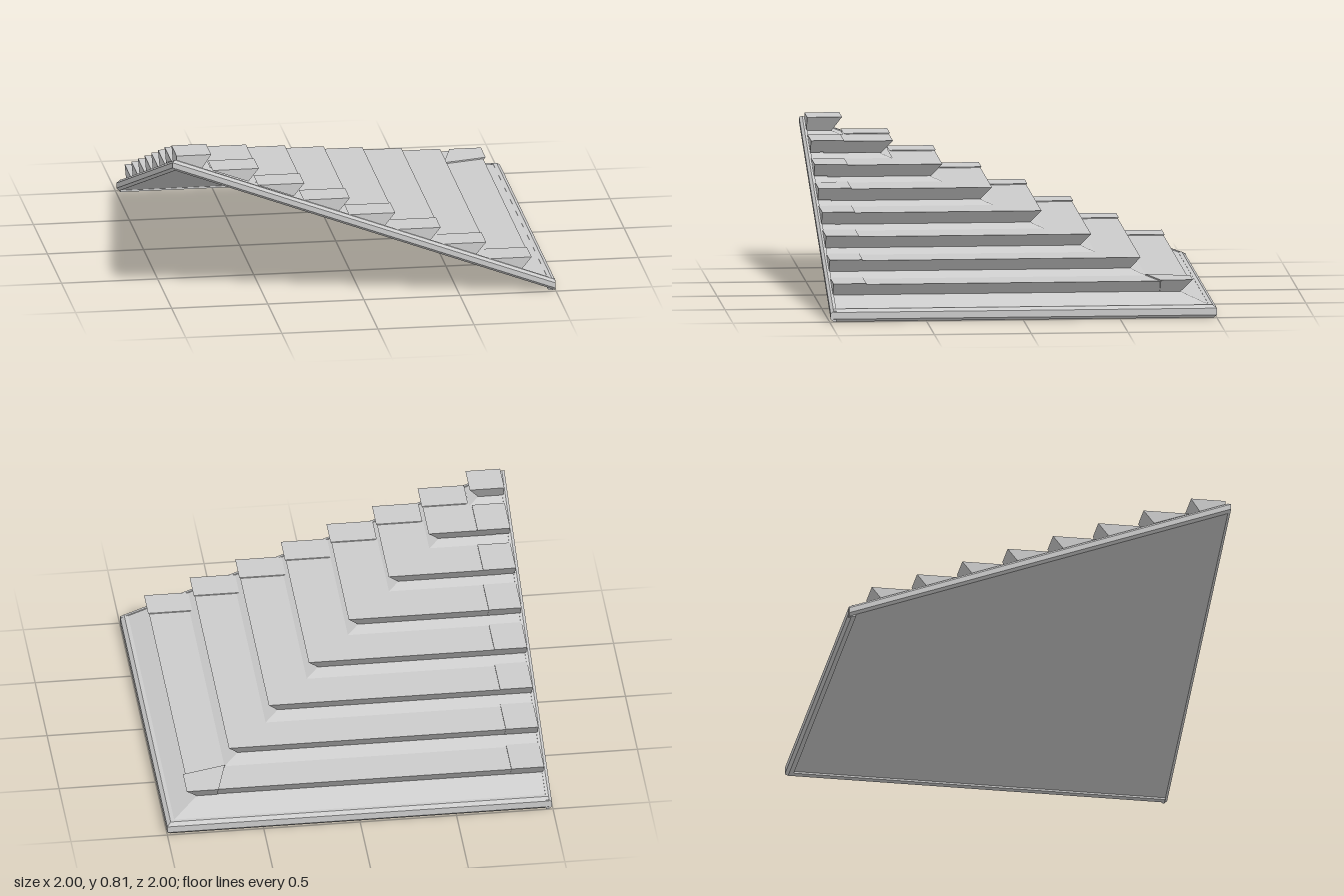
import * as THREE from 'three';

const material = new THREE.MeshStandardMaterial({ color: 0xcccccc, flatShading: true });
const EDGE = 0.97;
// Height of the roof underside at distance d from the hip centre
const base = (d) => 0.3725 * (1 - d);
const mirrorPoint = ([x, y, z]) => [-z, y, -x];

// Joins rings of equal point count into a closed solid with outward faces
function loft(name, rings) {
  const tris = [];
  const n = rings[0].length;
  for (let s = 0; s + 1 < rings.length; s++) {
    for (let i = 0; i < n; i++) {
      const j = (i + 1) % n;
      const a = rings[s][i], b = rings[s][j], c = rings[s + 1][j], d = rings[s + 1][i];
      tris.push([a, b, c], [a, c, d]);
    }
  }
  const last = rings[rings.length - 1];
  for (let i = 1; i + 1 < n; i++) {
    tris.push([rings[0][0], rings[0][i + 1], rings[0][i]]);
    tris.push([last[0], last[i], last[i + 1]]);
  }
  // Signed volume about a point of the solid decides the winding
  const origin = new THREE.Vector3(...rings[0][0]);
  let volume = 0;
  for (const t of tris) {
    const [a, b, c] = t.map((p) => new THREE.Vector3(...p).sub(origin));
    volume += a.dot(b.cross(c));
  }
  if (volume < 0) tris.forEach((t) => t.reverse());
  const geometry = new THREE.BufferGeometry();
  geometry.setAttribute('position', new THREE.Float32BufferAttribute(tris.flat(2), 3));
  geometry.computeVertexNormals();
  const mesh = new THREE.Mesh(geometry, material);
  mesh.name = name;
  return mesh;
}

// Sweeps a (distance, height) profile along both slopes, mitred on the hip
function hipSweep(name, profile, end = EDGE) {
  return loft(name, [
    profile.map(([d, y]) => [d, y, end]),
    profile.map(([d, y]) => [d, y, -d]),
    profile.map(([d, y]) => [-end, y, -d]),
  ]);
}

// The same solid on each of the two slopes
function addPair(group, name, rings) {
  group.add(loft(name + 'Side', rings));
  group.add(loft(name + 'Back', rings.map((ring) => ring.map(mirrorPoint))));
}

// Overhanging wedge: flat top, undercut front, tail buried in the roof
const wedge = (t, y) => [[t, y], [t - 0.24, y], [t - 0.055, y - 0.068]];

export function createModel() {
  const roof = new THREE.Group();
  roof.name = 'hippedRoofCorner';

  // Sloping roof shell, open below
  roof.add(hipSweep('roofShell', [
    [-EDGE, base(-EDGE) + 0.05], [0.98, base(0.98) + 0.05],
    [0.98, base(0.98)], [-EDGE, base(-EDGE)],
  ]));

  // Chamfered eave along the two low edges
  roof.add(hipSweep('eave', [
    [0.96, 0.066], [0.98, 0.066], [1, 0.05], [1, 0.015], [0.985, 0], [0.96, 0.005],
  ], 0.98));

  // Chamfered boards along the two sloping edges
  const board = [
    [0.965, 0.056], [0.98, 0.056], [0.995, 0.042], [0.995, 0.014], [0.98, 0], [0.965, 0],
  ];
  addPair(roof, 'edgeBoard', [
    board.map(([z, h]) => [-z, base(-z) + h, z]),
    board.map(([z, h]) => [0.998, base(0.998) + h, z]),
  ]);

  // Stepped shingle courses with a slightly larger block at each end
  for (let i = 0; i < 7; i++) {
    const t = 0.877 - i * 0.2365;
    const y = 0.181 + i * 0.0907;
    const course = new THREE.Group();
    course.name = 'shingleCourse' + (i + 1);
    course.add(hipSweep('courseStrip', wedge(t - 0.005, y - 0.005), 0.9));
    const block = wedge(t, y);
    addPair(course, 'endBlock', [EDGE, 0.8].map((z) => block.map(([d, h]) => [d, h, z])));
    roof.add(course);
  }

  // Block wrapping the lowest hip corner
  roof.add(loft('cornerBlock', [
    [[0.72, 0.183, -0.885], [0.885, 0.183, -0.885], [0.885, 0.183, -0.72], [0.66, 0.183, -0.66]],
    [[0.72, 0.113, -0.825], [0.825, 0.113, -0.825], [0.825, 0.113, -0.72], [0.66, 0.15, -0.66]],
  ]));

  // Square cap on the peak
  roof.add(hipSweep('peakCap', [
    [-0.79, 0.812], [-EDGE, 0.812], [-EDGE, 0.75], [-0.84, 0.735],
  ]));

  return roof;
}
